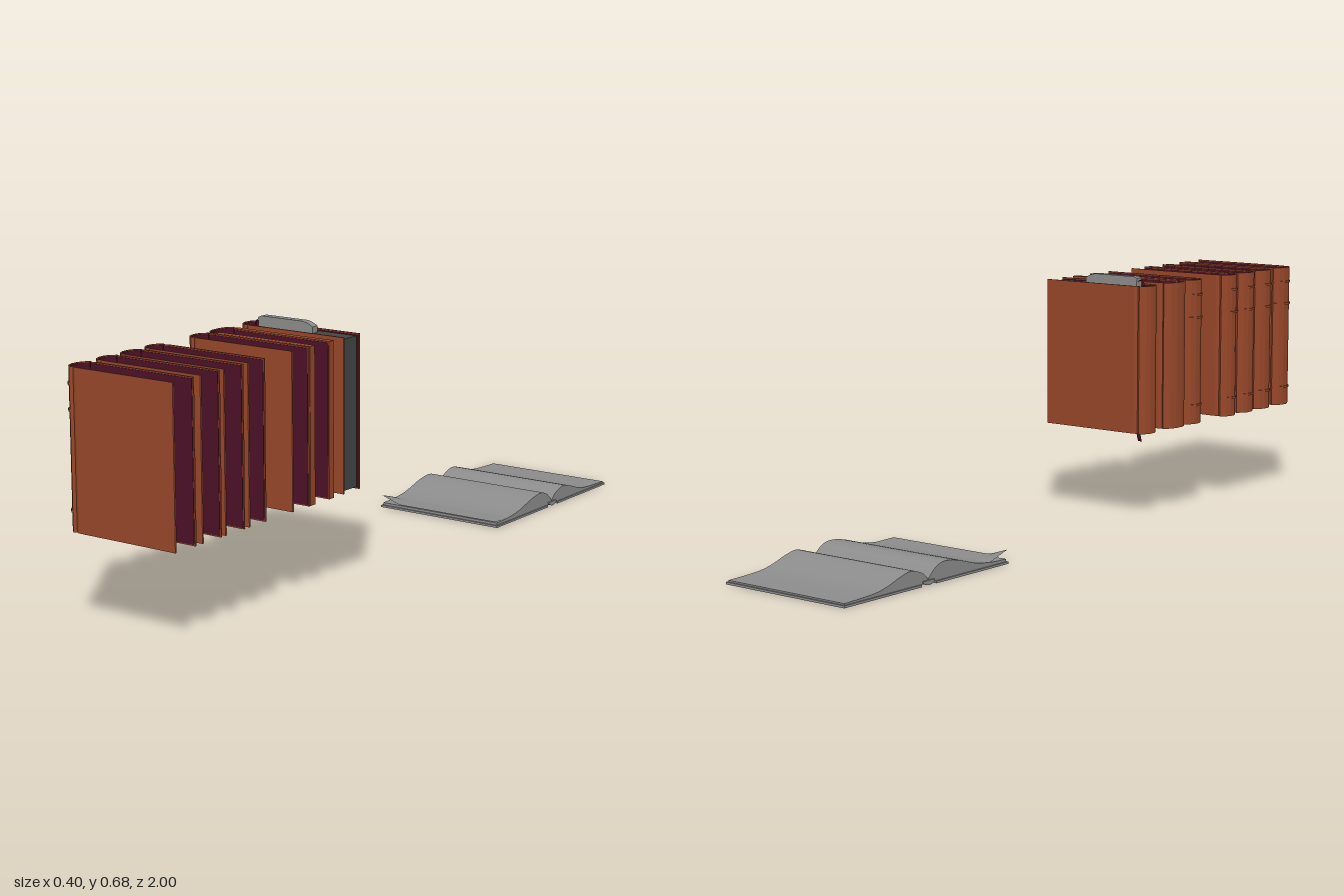
import * as THREE from 'three';
import { toCreasedNormals } from 'three/addons/utils/BufferGeometryUtils.js';

const mat = (name, color, side = THREE.FrontSide) => {
  const m = new THREE.MeshStandardMaterial({ color, side });
  m.name = name;
  return m;
};

// height span and fore edge shared by the standing books
const Y0 = 0.246, H = 0.411, EDGE = 0.178, HINGE = -0.125;

export function createModel() {
  const leather = mat('brown leather', 0x97472a);
  const lining = mat('maroon lining', 0x4c1027);
  const cloth = mat('maroon ribbon cloth', 0x4c1027, THREE.DoubleSide);
  const paper = mat('grey paper', 0x8c8c8c);
  const leaf = mat('grey leaf', 0x8c8c8c, THREE.DoubleSide);
  const darkPaper = mat('dark page block', 0x444646);
  const model = new THREE.Group();
  model.name = 'books';

  const add = (parent, name, geo, material, x = 0, y = 0, z = 0) => {
    const m = new THREE.Mesh(geo, material);
    m.name = name;
    m.position.set(x, y, z);
    parent.add(m);
    return m;
  };

  // wall of even thickness along an open [x, z] path, rising along y
  const wall = (path, from, to, h) => {
    const shift = (d) => path.map((p, i) => {
      const a = path[Math.max(i - 1, 0)], b = path[Math.min(i + 1, path.length - 1)];
      const dx = b[0] - a[0], dz = b[1] - a[1], l = Math.hypot(dx, dz);
      return new THREE.Vector2(p[0] - (dz / l) * d, -(p[1] + (dx / l) * d));
    });
    const outline = [...shift(from), ...shift(to).reverse()];
    return new THREE.ExtrudeGeometry(new THREE.Shape(outline), { depth: h, bevelEnabled: false })
      .rotateX(-Math.PI / 2);
  };

  // cover: two boards, a ridged spine and a lining inside
  const book = (z0, z1, t = 0.005, bands = [0.05, 0.3, 0.365]) => {
    const g = new THREE.Group();
    g.name = 'standingBook';
    g.position.set(0, Y0, (z0 + z1) / 2);
    const w = (z1 - z0) / 2;
    const half = [[HINGE, w], [-0.135, w * 0.87], [-0.143, w], [-0.157, w * 0.66], [-0.163, w * 0.25]];
    const path = [...half, ...half.map(([x, z]) => [x, -z]).reverse()];
    add(g, 'spine', wall(path, 0, 0.004, H), leather);
    add(g, 'spineLining', wall(path, 0.004, 0.0055, H - 0.004), lining, 0, 0.002);
    const ridge = path.slice(2, -2);
    for (const y of bands) add(g, 'spineBand', wall(ridge, -0.003, 0.001, 0.006), leather, 0, y);
    for (const s of [-1, 1]) {
      const len = EDGE - HINGE, mid = (EDGE + HINGE) / 2;
      add(g, 'coverBoard', new THREE.BoxGeometry(len, H, t), leather, mid, H / 2, s * (w - t / 2));
      add(g, 'coverLining', new THREE.BoxGeometry(len - 0.004, H - 0.006, 0.0015), lining,
        mid, H / 2, s * (w - t - 0.0007));
    }
    model.add(g);
    return g;
  };

  // row of empty covers
  book(0.921, 1.0);
  book(0.824, 0.899);
  book(0.734, 0.811);
  book(0.649, 0.718);
  book(0.468, 0.542);
  book(0.366, 0.466, 0.02, []);

  // filled book with page block, loose leaves and ribbon
  const full = book(0.25, 0.324, 0.005, []);
  add(full, 'pageBlock', new THREE.BoxGeometry(0.3, H - 0.012, 0.058), darkPaper, 0.022, H / 2, 0);
  const wavy = new THREE.Shape();
  wavy.moveTo(-0.115, 0.4);
  wavy.lineTo(-0.115, 0.43);
  wavy.lineTo(-0.105, 0.434);
  wavy.lineTo(0.03, 0.434);
  wavy.quadraticCurveTo(0.045, 0.431, 0.055, 0.426);
  wavy.lineTo(0.061, 0.422);
  wavy.lineTo(0.061, 0.4);
  add(full, 'looseLeaves', new THREE.ExtrudeGeometry(wavy, { depth: 0.022, bevelEnabled: false }),
    paper, 0, 0, -0.011);

  // flat ribbon from centre line points [x, y, z] with a sideways width
  const ribbon = (name, pts, dx, dz) => {
    const curve = new THREE.CatmullRomCurve3(pts.map((p) => new THREE.Vector3(...p)));
    const n = 8, geo = new THREE.PlaneGeometry(1, 1, 1, n), pos = geo.attributes.position;
    for (let i = 0; i <= n; i++) {
      const p = curve.getPoint(i / n);
      for (const k of [0, 1]) pos.setXYZ(i * 2 + k, p.x + (k - 0.5) * dx, p.y, p.z + (k - 0.5) * dz);
    }
    geo.computeVertexNormals();
    add(full, name, geo, cloth);
  };
  ribbon('ribbonTop', [[-0.133, 0.4, 0], [-0.129, 0.418, 0], [-0.119, 0.424, 0], [-0.112, 0.416, 0], [-0.112, 0.4, 0]], 0.004, 0.014);
  ribbon('ribbonTail', [[-0.112, 0.02, 0], [-0.114, 0, 0.002], [-0.121, -0.014, -0.004], [-0.12, -0.027, 0.002]], 0.018, 0.006);

  // open book lying flat behind the row
  const open = new THREE.Group();
  open.name = 'openBook';
  model.add(open);
  for (const [a, b] of [[-0.668, -0.388], [-1, -0.722]])
    add(open, 'openCover', new THREE.BoxGeometry(0.4, 0.006, b - a), paper, 0, 0.003, (a + b) / 2);

  // rounded spine strip between the covers
  const strip = new THREE.Shape();
  strip.moveTo(0.674, 0.008);
  strip.quadraticCurveTo(0.695, -0.007, 0.716, 0.008);
  strip.lineTo(0.716, 0.013);
  strip.lineTo(0.674, 0.013);
  const along = (shape, len) => toCreasedNormals(
    new THREE.ExtrudeGeometry(shape, { depth: len, bevelEnabled: false, curveSegments: 8 })
      .rotateY(Math.PI / 2).translate(-len / 2, 0, 0), 0.5);
  add(open, 'openSpine', along(strip, 0.4), paper);

  // swelling page stacks, profile given as [distance behind centre, height]
  const stack = (name, top) => {
    const curve = new THREE.SplineCurve(top.map((p) => new THREE.Vector2(...p)));
    const first = top[0], last = top[top.length - 1];
    const s = new THREE.Shape([new THREE.Vector2(first[0], 0.006), ...curve.getPoints(32),
      new THREE.Vector2(last[0], 0.006)]);
    add(open, name, along(s, 0.392), paper);
  };
  stack('frontPages', [[0.393, 0.013], [0.45, 0.015], [0.51, 0.023], [0.58, 0.043], [0.63, 0.05],
    [0.665, 0.041], [0.694, 0.016]]);
  stack('backPages', [[0.696, 0.016], [0.715, 0.033], [0.755, 0.046], [0.795, 0.039], [0.845, 0.023],
    [0.895, 0.014], [0.995, 0.01]]);

  // top leaf with one corner curling up
  const sheet = new THREE.PlaneGeometry(0.392, 0.07, 24, 8).rotateX(-Math.PI / 2).translate(0, 0, -0.422);
  const p = sheet.attributes.position;
  for (let i = 0; i < p.count; i++) {
    const out = (p.getZ(i) + 0.457) / 0.07;
    const corner = Math.max(0, 1 - (p.getX(i) + 0.196) / 0.06);
    p.setY(i, 0.0155 + out * (0.001 + 0.02 * corner));
  }
  sheet.computeVertexNormals();
  add(open, 'curledLeaf', sheet, leaf);

  return model;
}
